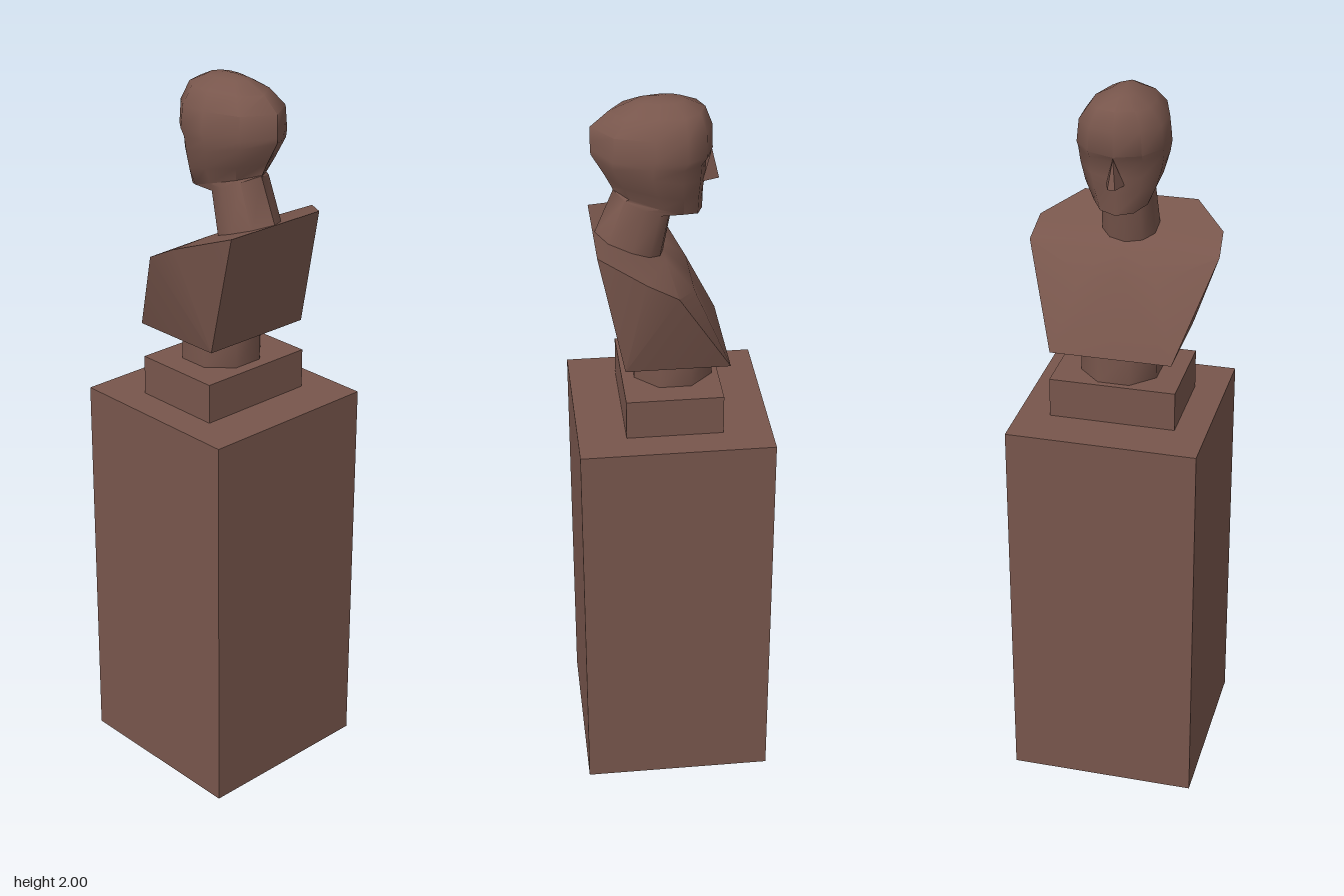
import * as THREE from 'three';
import { toCreasedNormals } from 'three/addons/utils/BufferGeometryUtils.js';

const stone = new THREE.MeshStandardMaterial({ color: 0x78564c, side: THREE.DoubleSide });
stone.name = 'brown stone';

function part(name, geometry, y = 0, z = 0) {
  const mesh = new THREE.Mesh(geometry, stone);
  mesh.name = name;
  mesh.position.set(0, y, z);
  return mesh;
}

function fromTriangles(tris, crease) {
  const g = new THREE.BufferGeometry();
  g.setAttribute('position', new THREE.Float32BufferAttribute(tris.flat(2), 3));
  return toCreasedNormals(g, crease);
}

// Polygons of the +x half, fanned into triangles and mirrored to -x
function mirrored(polygons, crease) {
  const tris = [];
  const flip = ([x, y, z]) => [-x, y, z];
  for (const p of polygons) {
    for (let i = 1; i < p.length - 1; i++) {
      tris.push([p[0], p[i], p[i + 1]]);
      tris.push([flip(p[0]), flip(p[i + 1]), flip(p[i])]);
    }
  }
  return fromTriangles(tris, crease);
}

// Open box: four walls and a lid, no floor
function pedestalGeometry() {
  const g = new THREE.BoxGeometry(0.52, 1.105, 0.52);
  const index = Array.from(g.index.array);
  index.splice(18, 6);
  g.setIndex(index);
  g.clearGroups();
  return g;
}

// Chest and shoulders cut off above a rectangular foot
function chestGeometry() {
  const mid = ([, y, z]) => [0, y, z];
  const F = [0.165, 1.305, -0.147], R = [0.165, 1.305, 0.13];
  const B = [0.157, 1.635, 0.197], S = [0.25, 1.6, 0.08], T = [0.257, 1.56, 0];
  const P = [0.1, 1.5, -0.058], N = [0.06, 1.572, 0.012];
  const F0 = mid(F), R0 = mid(R), B0 = mid(B), P0 = mid(P), N0 = mid(N);
  return mirrored([
    [R0, R, B, B0],                       // back
    [R, F, T, S, B],                      // side
    [F, F0, P0, P], [F, P, T],            // breast
    [P, P0, N0, N], [P, N, T],            // collar
    [T, N, S], [S, N, B], [N, N0, B0, B], // shoulder
    [F0, F, R, R0],                       // underside
  ], 0.6);
}

// Neck and head: tilted ten-sided rings, listed upwards as
// [front y, front z, back y, back z, half width]
function headGeometry() {
  const rows = [
    [1.55, 0.018, 1.625, 0.195, 0.075],
    [1.685, -0.008, 1.75, 0.142, 0.07],
    [1.688, -0.088, 1.755, 0.144, 0.074],
    [1.745, -0.09, 1.79, 0.162, 0.097],
    [1.79, -0.096, 1.85, 0.197, 0.111],
    [1.835, -0.098, 1.865, 0.198, 0.116],
    [1.855, -0.114, 1.885, 0.198, 0.117],
    [1.92, -0.112, 1.925, 0.197, 0.111],
    [1.967, -0.094, 1.965, 0.15, 0.08],
    [1.99, -0.045, 1.99, 0.09, 0.035],
  ];
  // [share of depth from front to back, share of half width]
  const half = [[0, 0], [0.07, 0.6], [0.24, 0.97], [0.5, 1], [0.83, 0.72], [1, 0]];
  const loop = [...half, ...half.slice(1, -1).reverse().map(([t, w]) => [t, -w])];
  const rings = rows.map(([yf, zf, yb, zb, w]) =>
    loop.map(([t, s]) => [s * w, yf + (yb - yf) * t, zf + (zb - zf) * t]));
  const tris = [];
  const n = loop.length;
  for (let r = 0; r < rings.length - 1; r++) {
    for (let i = 0; i < n; i++) {
      const j = (i + 1) % n;
      const a = rings[r][j], b = rings[r][i], c = rings[r + 1][i], d = rings[r + 1][j];
      tris.push([a, b, c], [a, c, d]);
    }
  }
  const last = rings[rings.length - 1];
  for (let i = 0; i < n; i++) tris.push([last[(i + 1) % n], last[i], [0, 2, 0.03]]);
  return fromTriangles(tris, 0.85);
}

function noseGeometry() {
  const bridge = [0, 1.852, -0.112];
  const wing = [0.024, 1.772, -0.085], wing0 = [0, 1.762, -0.085];
  const tip = [0.01, 1.774, -0.13], tip0 = [0, 1.774, -0.13];
  return mirrored([[wing, tip, bridge], [tip, tip0, bridge], [tip0, tip, wing, wing0]], 0.5);
}

export function createModel() {
  const model = new THREE.Group();
  model.name = 'bust on pedestal';

  model.add(part('pedestal', pedestalGeometry(), 0.5525));
  model.add(part('plinth', new THREE.BoxGeometry(0.345, 0.11, 0.26), 1.16));

  // Short eight-sided column under the chest
  const column = new THREE.CylinderGeometry(0.113, 0.113, 0.09, 8);
  column.rotateY(Math.PI / 8);
  model.add(part('column', toCreasedNormals(column, 0.9), 1.26, -0.008));

  const bust = new THREE.Group();
  bust.name = 'bust';
  bust.add(part('chest', chestGeometry()));
  bust.add(part('neckAndHead', headGeometry()));
  bust.add(part('nose', noseGeometry()));
  model.add(bust);
  return model;
}
